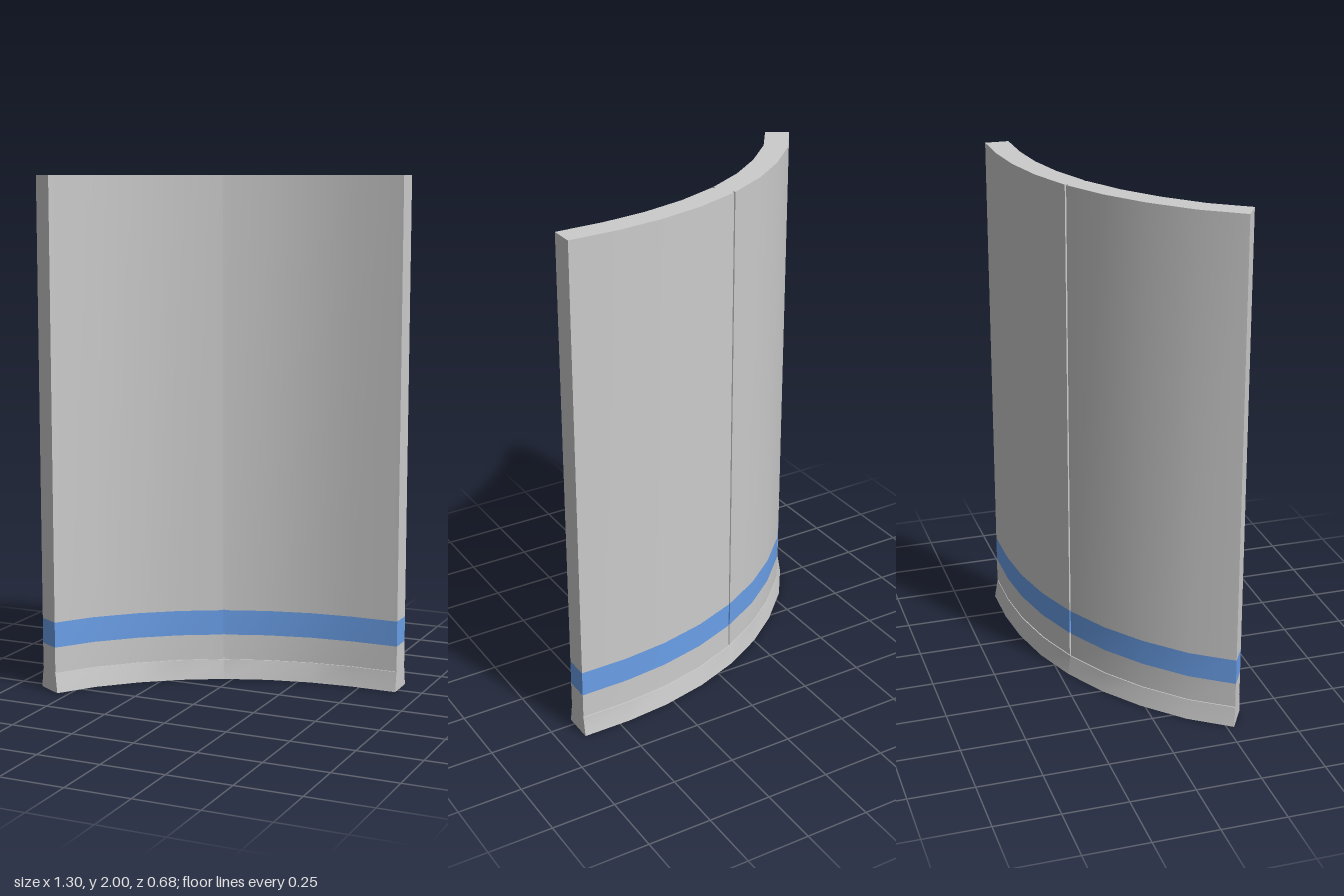
import * as THREE from 'three';
import { toCreasedNormals } from 'three/addons/utils/BufferGeometryUtils.js';

// Centre line of the curved wall in plan (x, z), left end to right end
const PATH = [
  [-0.597, 0.308], [-0.495, 0.163], [-0.36, 0.031], [-0.22, -0.074], [-0.058, -0.162],
  [0.113, -0.225], [0.29, -0.264], [0.46, -0.28], [0.65, -0.28],
].map(([x, z]) => new THREE.Vector2(x, z));

const WALL = 0.047;  // half thickness of the wall
const FOOT = 0.06;   // half thickness at the bottom of the flared base
const GROOVE = 0.043; // half thickness inside the shadow groove
const SEAM_WIDTH = 0.004;
const SEAM_DEPTH = 0.01;

// Tangent at each path point; the left end is cut at its own angle
function tangent(i) {
  if (i === 0) return new THREE.Vector2(0.51, -0.86);
  if (i === PATH.length - 1) return new THREE.Vector2(1, 0);
  const before = PATH[i].clone().sub(PATH[i - 1]).normalize();
  const after = PATH[i + 1].clone().sub(PATH[i]).normalize();
  return before.add(after).normalize();
}

// One face of the wall in plan; side is 1 for the inner (front) face, -1 for the back
function faceLine(half, seam, side) {
  const line = [];
  PATH.forEach((p, i) => {
    const t = tangent(i);
    const n = new THREE.Vector2(-t.y, t.x);
    const put = (along, depth) =>
      line.push(p.clone().addScaledVector(t, along).addScaledVector(n, side * (half - depth)));
    if (i === 4) {
      put(-SEAM_WIDTH, 0);
      put(-SEAM_WIDTH, seam);
      put(SEAM_WIDTH, seam);
      put(SEAM_WIDTH, 0);
    } else put(0, 0);
  });
  return line;
}

// Loft closed rings given as [y, half thickness, seam depth], with optional end caps
function loft(name, rows, color, { bottom = false, top = false } = {}) {
  const pos = [];
  const tri = (...pts) => pts.forEach((p) => pos.push(p.x, p.y, p.z));
  const quad = (a, b, c, d) => { tri(a, b, c); tri(a, c, d); };
  const rings = rows.map(([y, half, seam = 0]) => {
    const lift = (v) => new THREE.Vector3(v.x, y, v.y);
    const front = faceLine(half, seam, 1).map(lift);
    const back = faceLine(half, seam, -1).map(lift);
    return { front, back, loop: [...front, ...back.slice().reverse()] };
  });
  for (let r = 0; r < rings.length - 1; r++) {
    const a = rings[r].loop, b = rings[r + 1].loop;
    for (let i = 0; i < a.length; i++) {
      const j = (i + 1) % a.length;
      quad(a[i], a[j], b[j], b[i]);
    }
  }
  const cap = ({ front, back }, up) => {
    for (let i = 0; i < front.length - 1; i++) {
      if (up) quad(front[i], front[i + 1], back[i + 1], back[i]);
      else quad(back[i], back[i + 1], front[i + 1], front[i]);
    }
  };
  if (bottom) cap(rings[0], false);
  if (top) cap(rings[rings.length - 1], true);

  const geometry = new THREE.BufferGeometry();
  geometry.setAttribute('position', new THREE.Float32BufferAttribute(pos, 3));
  const mesh = new THREE.Mesh(
    toCreasedNormals(geometry, 0.35),
    new THREE.MeshStandardMaterial({ color })
  );
  mesh.name = name;
  return mesh;
}

export function createModel() {
  const group = new THREE.Group();
  group.name = 'curvedWall';
  const grey = 0xcccccc;
  group.add(
    // Flared skirting with a thin shadow groove above it
    loft('flaredBase', [[0, FOOT], [0.077, WALL], [0.077, GROOVE], [0.082, GROOVE]], grey, { bottom: true }),
    // Wall below the stripe, where the vertical seam starts
    loft('lowerWall', [[0.082, GROOVE], [0.082, WALL], [0.082, WALL, SEAM_DEPTH], [0.18, WALL, SEAM_DEPTH]], grey),
    // Coloured stripe running round all sides
    loft('blueStripe', [[0.18, WALL, SEAM_DEPTH], [0.28, WALL, SEAM_DEPTH]], 0x6a9fe8),
    // Tall wall panels up to the flat top
    loft('upperWall', [[0.28, WALL, SEAM_DEPTH], [2, WALL, SEAM_DEPTH]], grey, { top: true })
  );
  return group;
}
